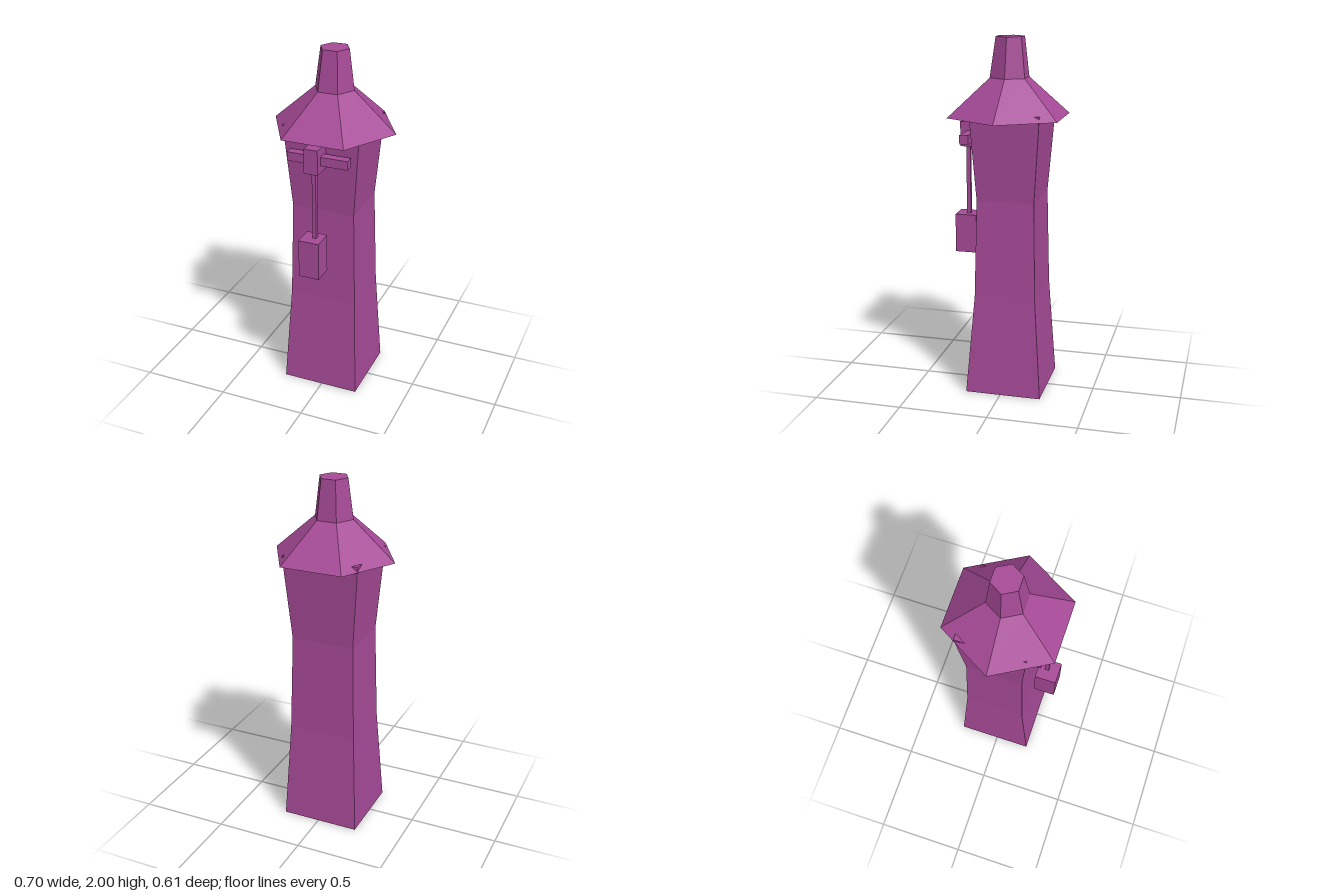
import * as THREE from 'three';

const material = new THREE.MeshStandardMaterial({ color: 0xa64a97, flatShading: true });

function add(group, name, geometry) {
  const mesh = new THREE.Mesh(geometry, material);
  mesh.name = name;
  group.add(mesh);
  return mesh;
}

// Box given by its limits on each axis
function block(group, name, [x0, x1], [y0, y1], [z0, z1]) {
  const mesh = add(group, name, new THREE.BoxGeometry(x1 - x0, y1 - y0, z1 - z0));
  mesh.position.set((x0 + x1) / 2, (y0 + y1) / 2, (z0 + z1) / 2);
}

// Four-sided shaft: one [y, xMin, xMax, zMin, zMax] section per level
function shaftGeometry(sections) {
  const geometry = new THREE.BoxGeometry(1, 1, 1, 1, sections.length - 1, 1);
  const p = geometry.attributes.position;
  for (let i = 0; i < p.count; i++) {
    const level = Math.round((p.getY(i) + 0.5) * (sections.length - 1));
    const [y, x0, x1, z0, z1] = sections[level];
    p.setXYZ(i, p.getX(i) < 0 ? x0 : x1, y, p.getZ(i) < 0 ? z0 : z1);
  }
  geometry.computeVertexNormals();
  return geometry;
}

// Hexagonal frustum with corners on the x axis; the top may sit off centre in z
function hexFrustum(group, name, [y0, r0, z0], [y1, r1, z1]) {
  const geometry = new THREE.CylinderGeometry(r1, r0, y1 - y0, 6, 1, false, Math.PI / 6);
  const p = geometry.attributes.position;
  for (let i = 0; i < p.count; i++) p.setZ(i, p.getZ(i) + (p.getY(i) > 0 ? z1 : z0));
  add(group, name, geometry).position.y = (y0 + y1) / 2;
}

export function createModel() {
  const model = new THREE.Group();
  model.name = 'tower';

  // Waisted shaft, its top corners just breaking through the roof
  add(model, 'shaft', shaftGeometry([
    [0, -0.233, 0.213, -0.23, 0.2],
    [0.57, -0.203, 0.185, -0.192, 0.152],
    [1.12, -0.189, 0.17, -0.18, 0.14],
    [1.6, -0.227, 0.208, -0.215, 0.17],
  ]));

  // Roof and spire
  hexFrustum(model, 'roof', [1.57, 0.35, 0], [1.78, 0.112, -0.003]);
  hexFrustum(model, 'spire', [1.78, 0.112, -0.003], [2, 0.082, -0.007]);

  // Hanging weight with its crossbar
  const pendulum = new THREE.Group();
  pendulum.name = 'pendulum';
  block(pendulum, 'hub', [-0.06, 0.018], [1.39, 1.53], [0.15, 0.275]);
  block(pendulum, 'crossbar', [-0.175, 0.17], [1.43, 1.48], [0.185, 0.235]);
  block(pendulum, 'rod', [-0.027, -0.005], [1, 1.39], [0.225, 0.248]);
  block(pendulum, 'weight', [-0.085, 0.033], [0.78, 1], [0.185, 0.305]);
  model.add(pendulum);

  return model;
}
